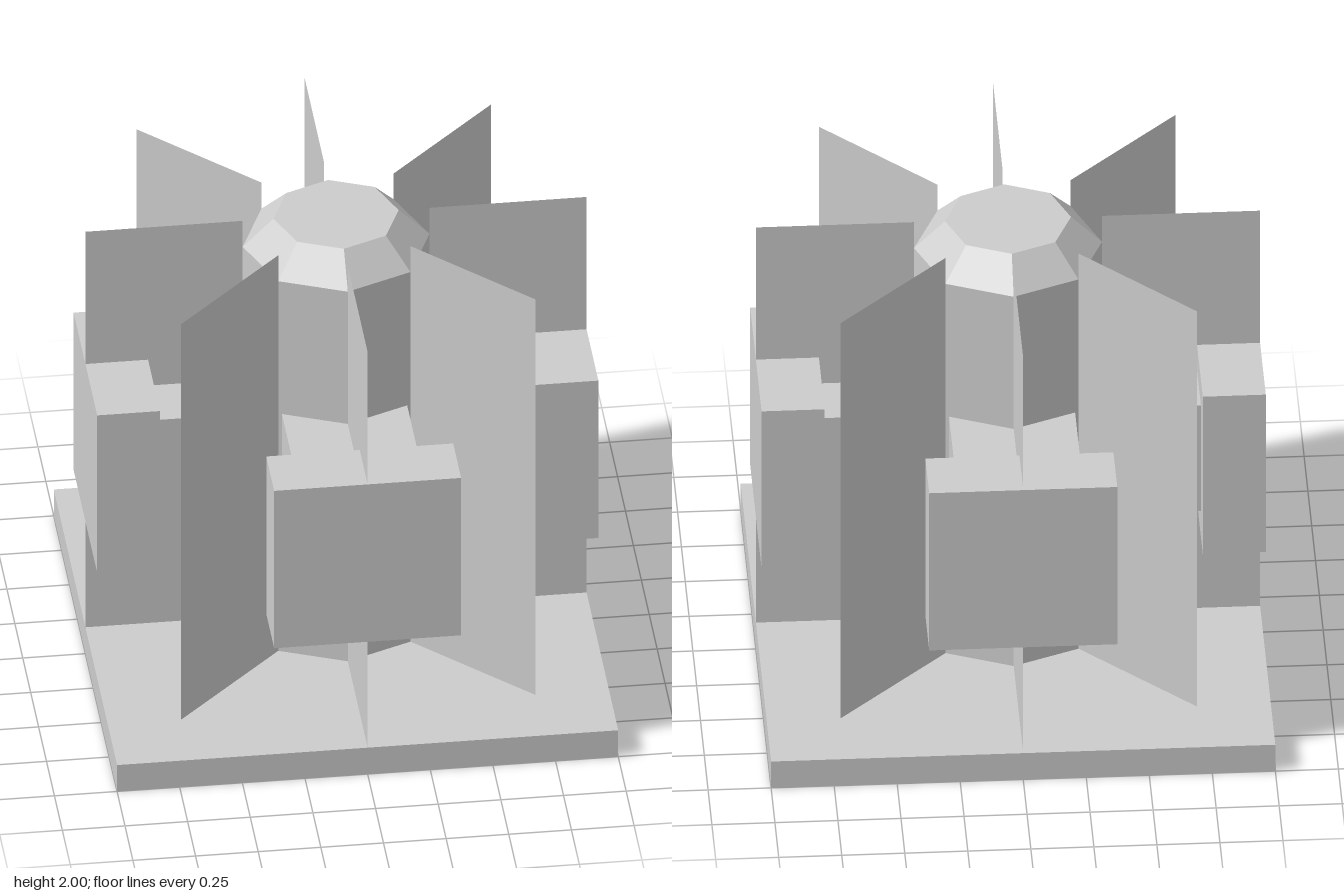
import * as THREE from 'three';

export function createModel() {
  const model = new THREE.Group();
  const grey = new THREE.MeshStandardMaterial({ color: 0xcccccc, flatShading: true, side: THREE.DoubleSide });
  grey.name = 'light grey';

  const add = (parent, name, geometry, x, y, z) => {
    const mesh = new THREE.Mesh(geometry, grey);
    mesh.name = name;
    mesh.position.set(x, y, z);
    parent.add(mesh);
  };

  const baseTop = 0.125, radius = 0.373, shoulder = 1.877;

  // Square base slab
  add(model, 'base', new THREE.BoxGeometry(2, baseTop, 2), 0, baseTop / 2, 0);

  // Octagonal column with a chamfered cap
  const columnHeight = shoulder - baseTop;
  add(model, 'column', new THREE.CylinderGeometry(radius, radius, columnHeight, 8, 1, true),
    0, baseTop + columnHeight / 2, 0);
  add(model, 'cap', new THREE.CylinderGeometry(0.25, radius, 2 - shoulder, 8), 0, (2 + shoulder) / 2, 0);

  // Paper-thin fins radiating from each column corner
  const finHeight = 2 - baseTop;
  for (let i = 0; i < 8; i++) {
    const fin = new THREE.Group();
    fin.name = 'fin';
    fin.rotation.y = i * Math.PI / 4;
    add(fin, 'finPanel', new THREE.PlaneGeometry(1 - radius, finHeight), (1 + radius) / 2, baseTop + finHeight / 2, 0);
    model.add(fin);
  }

  // Four side arms, each ending in a square block
  for (let i = 0; i < 4; i++) {
    const arm = new THREE.Group();
    arm.name = 'sideArm';
    arm.rotation.y = i * Math.PI / 2;
    add(arm, 'armStem', new THREE.BoxGeometry(0.5, 0.5, 0.5), 0, 1, 0.5);
    add(arm, 'armBlock', new THREE.BoxGeometry(0.746, 0.746, 0.25), 0, 1, 0.875);
    model.add(arm);
  }
  return model;
}
